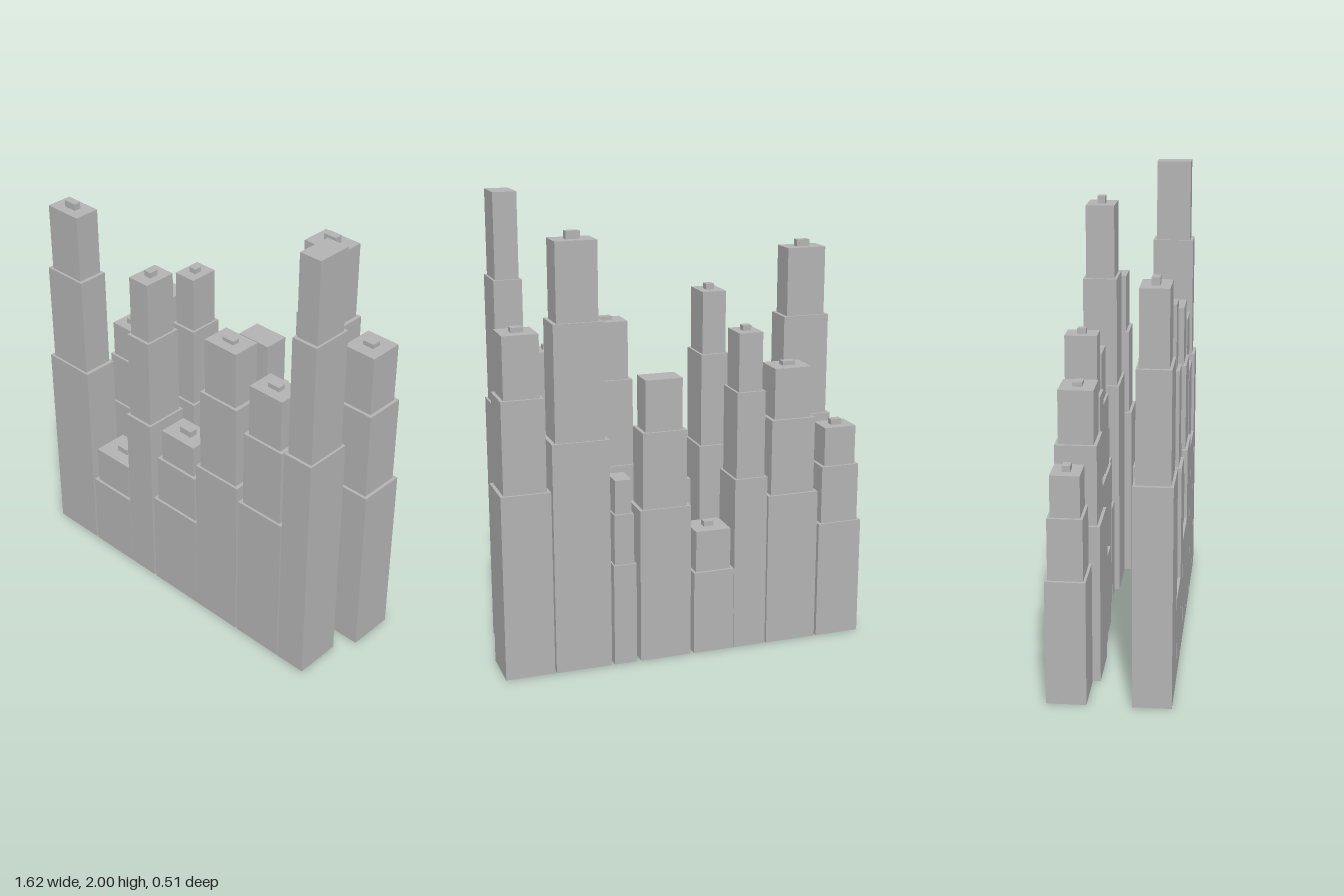
import * as THREE from 'three';

const concrete = new THREE.MeshStandardMaterial({ color: 0xb3b3b3, side: THREE.DoubleSide });
concrete.name = 'concrete grey';

// Hollow block: four walls and a roof, open underneath
function block(name, w, h, d, y) {
  const geo = new THREE.BoxGeometry(w, h, d);
  const index = Array.from(geo.index.array);
  index.splice(18, 6);
  geo.setIndex(index);
  geo.clearGroups();
  const mesh = new THREE.Mesh(geo, concrete);
  mesh.name = name;
  mesh.position.y = y + h / 2;
  return mesh;
}

// Stepped tower: [height, width factor, depth factor] for each tier
const THREE_TIERS = [[0.55, 1, 1], [0.82, 0.86, 0.87], [1, 0.72, 0.73]];
const TWO_TIERS = [[0.67, 1, 1], [1, 0.86, 0.86]];

function tower(name, x0, x1, z0, z1, height, rooftop, tiers) {
  const g = new THREE.Group();
  g.name = name;
  const w = x1 - x0, d = z1 - z0;
  let y = 0;
  tiers.forEach(([top, fw, fd], i) => {
    g.add(block(`tier${i + 1}`, w * fw, top * height - y, d * fd, y));
    y = top * height;
  });
  if (rooftop > 0) g.add(block('rooftopUnit', w * 0.245, rooftop, d * 0.2, y));
  g.position.set((x0 + x1) / 2, 0, (z0 + z1) / 2);
  return g;
}

// Each tower: left x, right x, inner z, height, rooftop unit height, tiers
const FRONT_ROW = [
  [-0.812, -0.563, 0.093, 1.7, 0.03, THREE_TIERS],
  [-0.552, -0.311, 0.068, 0.53, 0.027, TWO_TIERS],
  [-0.309, -0.16, 0.049, 1.535, 0.025, THREE_TIERS],
  [-0.148, 0.119, 0.071, 0.84, 0.028, THREE_TIERS],
  [0.121, 0.361, 0.08, 1.424, 0.017, THREE_TIERS],
  [0.37, 0.61, 0.081, 1.314, 0.02, THREE_TIERS],
  [0.616, 0.756, 0.042, 2, 0, THREE_TIERS],
];
const BACK_ROW = [
  [-0.812, -0.61, -0.09, 0.96, 0.025, THREE_TIERS],
  [-0.6, -0.367, -0.057, 1.242, 0.018, THREE_TIERS],
  [-0.36, -0.211, -0.071, 1.408, 0.023, THREE_TIERS],
  [-0.209, -0.026, -0.078, 0.555, 0.022, TWO_TIERS],
  [-0.01, 0.217, -0.1, 1.24, 0, THREE_TIERS],
  [0.235, 0.335, -0.1, 0.82, 0, THREE_TIERS],
  [0.348, 0.593, -0.078, 1.832, 0.033, THREE_TIERS],
  [0.6, 0.812, -0.045, 1.466, 0.02, THREE_TIERS],
];

export function createModel() {
  const city = new THREE.Group();
  city.name = 'cityBlock';
  FRONT_ROW.forEach(([x0, x1, z, ...rest], i) =>
    city.add(tower(`frontTower${i + 1}`, x0, x1, z, 0.253, ...rest)));
  BACK_ROW.forEach(([x0, x1, z, ...rest], i) =>
    city.add(tower(`backTower${i + 1}`, x0, x1, -0.254, z, ...rest)));
  return city;
}
